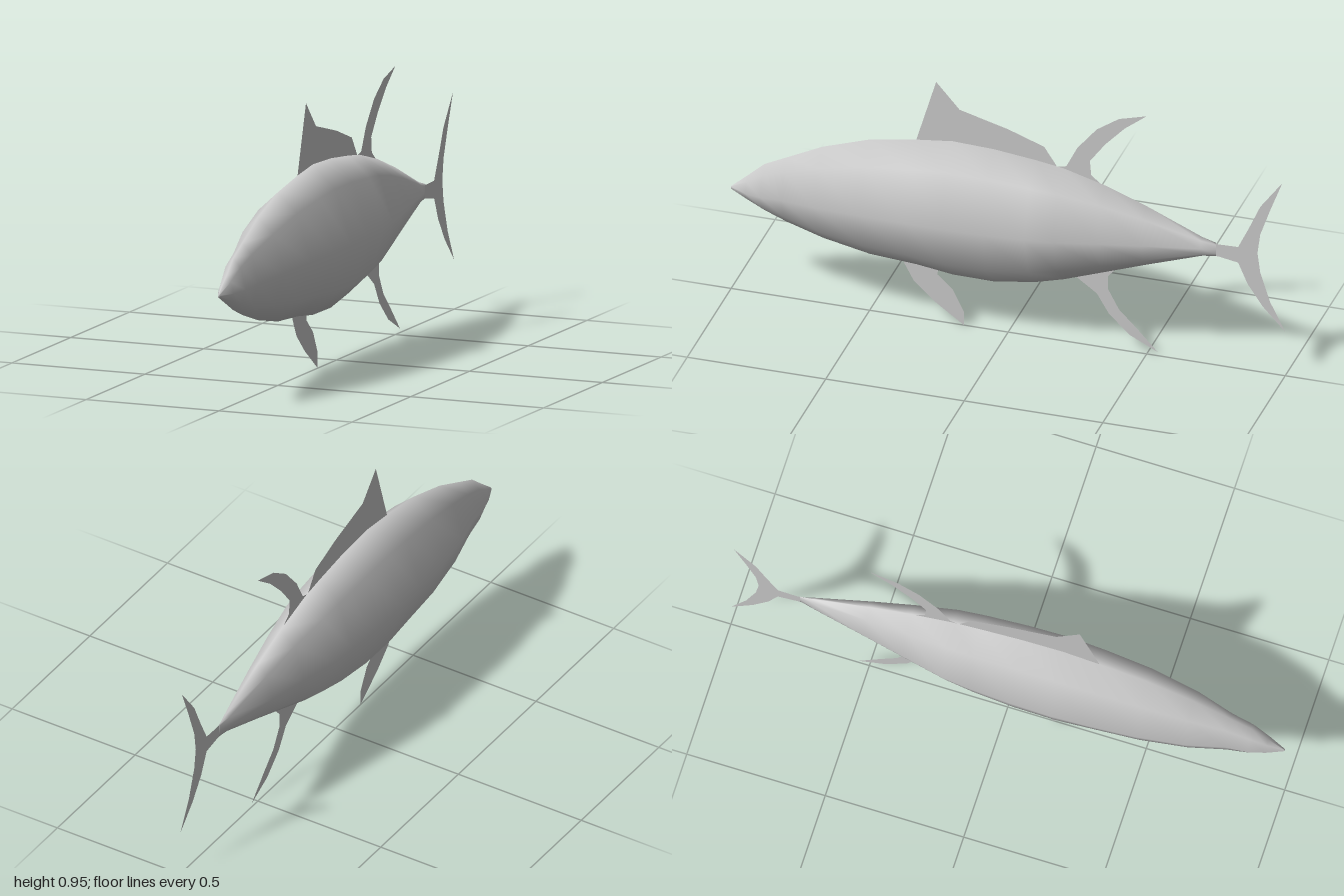
import * as THREE from 'three';

export function createModel() {
  const fish = new THREE.Group();
  fish.name = 'fish';
  const skin = new THREE.MeshStandardMaterial({ color: 0xcccccc, side: THREE.DoubleSide });
  skin.name = 'silverGrey';

  // Body stations, nose to tail: z, back y, belly y, widest y, half width
  const stations = [
    [1.0, 0.412, 0.402, 0.407, 0.004],
    [0.94, 0.465, 0.37, 0.408, 0.03],
    [0.88, 0.52, 0.338, 0.412, 0.048],
    [0.8, 0.56, 0.306, 0.42, 0.058],
    [0.67, 0.625, 0.265, 0.435, 0.097],
    [0.5, 0.683, 0.23, 0.448, 0.125],
    [0.33, 0.712, 0.218, 0.455, 0.139],
    [0.2, 0.728, 0.2, 0.457, 0.145],
    [0.05, 0.722, 0.198, 0.458, 0.142],
    [-0.1, 0.705, 0.222, 0.46, 0.134],
    [-0.2, 0.69, 0.25, 0.462, 0.124],
    [-0.35, 0.648, 0.305, 0.465, 0.093],
    [-0.5, 0.592, 0.36, 0.466, 0.061],
    [-0.7, 0.505, 0.43, 0.466, 0.018],
    [-0.75, 0.49, 0.438, 0.464, 0.002],
  ];
  // Eight-sided section: x as a share of the half width, y as a share of the height
  const section = [[0, 1], [-0.59, 0.71], [-1, 0], [-0.65, -0.65], [0, -1], [0.65, -0.65], [1, 0], [0.59, 0.71]];
  const n = section.length;
  const positions = [];
  const index = [];
  stations.forEach(([z, top, bottom, mid, w], i) => {
    for (const [sx, sy] of section) {
      positions.push(sx * w, mid + sy * (sy > 0 ? top - mid : mid - bottom), z);
    }
    if (i === 0) return;
    for (let j = 0; j < n; j++) {
      const a = (i - 1) * n + j, b = (i - 1) * n + (j + 1) % n;
      index.push(a, b, a + n, b, b + n, a + n);
    }
  });
  // Close the nose and the tail end
  const last = (stations.length - 1) * n;
  for (let j = 1; j < n - 1; j++) {
    index.push(0, j + 1, j, last, last + j, last + j + 1);
  }
  const bodyGeometry = new THREE.BufferGeometry();
  bodyGeometry.setAttribute('position', new THREE.Float32BufferAttribute(positions, 3));
  bodyGeometry.setIndex(index);
  bodyGeometry.computeVertexNormals();
  const body = new THREE.Mesh(bodyGeometry, skin);
  body.name = 'body';
  fish.add(body);

  // Flat fins in the middle plane, outlined as [z, y]
  const fins = {
    frontDorsalFin: [
      [0.335, 0.7], [0.26, 0.953], [0.175, 0.857], [0.0, 0.81], [-0.13, 0.763],
      [-0.175, 0.695], [-0.17, 0.66], [0.3, 0.66],
    ],
    rearDorsalFin: [
      [-0.17, 0.69], [-0.21, 0.7], [-0.25, 0.78], [-0.32, 0.865], [-0.4, 0.92], [-0.5, 0.948],
      [-0.42, 0.885], [-0.35, 0.81], [-0.295, 0.735], [-0.3, 0.68], [-0.36, 0.63], [-0.2, 0.63],
    ],
    pelvicFin: [
      [0.38, 0.25], [0.375, 0.215], [0.34, 0.15], [0.27, 0.085], [0.16, 0.006],
      [0.16, 0.06], [0.2, 0.14], [0.255, 0.19], [0.25, 0.25],
    ],
    analFin: [
      [-0.23, 0.29], [-0.25, 0.265], [-0.32, 0.215], [-0.365, 0.14], [-0.44, 0.07], [-0.54, 0.02],
      [-0.46, 0.105], [-0.4, 0.165], [-0.36, 0.24], [-0.36, 0.29], [-0.4, 0.335], [-0.3, 0.34],
    ],
    tailFin: [
      [-0.7, 0.5], [-0.76, 0.485], [-0.83, 0.487], [-0.87, 0.57], [-0.91, 0.66], [-0.99, 0.768],
      [-0.945, 0.65], [-0.91, 0.55], [-0.9, 0.475], [-0.91, 0.4], [-0.945, 0.29], [-1.0, 0.18],
      [-0.92, 0.265], [-0.865, 0.345], [-0.83, 0.425], [-0.76, 0.437], [-0.7, 0.44],
    ],
  };
  for (const [name, outline] of Object.entries(fins)) {
    const shape = new THREE.Shape(outline.map(([z, y]) => new THREE.Vector2(z, y)));
    const fin = new THREE.Mesh(new THREE.ShapeGeometry(shape).rotateY(-Math.PI / 2), skin);
    fin.name = name;
    fish.add(fin);
  }
  return fish;
}
